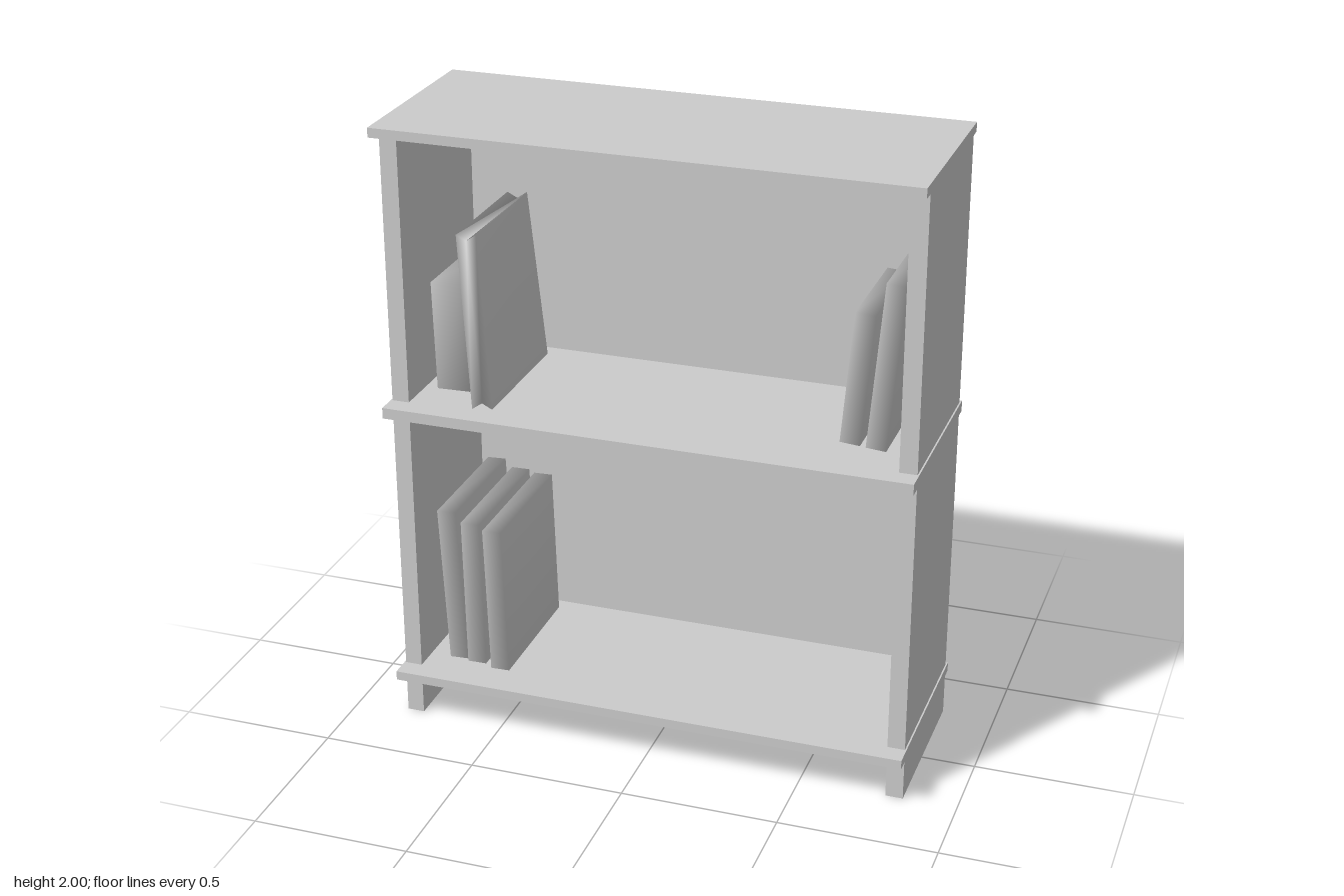
import * as THREE from 'three';
import { mergeVertices } from 'three/addons/utils/BufferGeometryUtils.js';

const material = new THREE.MeshStandardMaterial({ color: 0xcccccc });

// Box given by its lower and upper limits on each axis
function board(name, [x0, x1], [y0, y1], [z0, z1]) {
  const geometry = new THREE.BoxGeometry(x1 - x0, y1 - y0, z1 - z0);
  const mesh = new THREE.Mesh(geometry, material);
  mesh.position.set((x0 + x1) / 2, (y0 + y1) / 2, (z0 + z1) / 2);
  mesh.name = name;
  return mesh;
}

// Leaning, softly shaded book: xBottom and xTop are the centres of its ends,
// lean shifts the top back in z, notch sinks the pages between the covers
function book({ xBottom, xTop, y, z, width, lean = 0, notch = 0 }) {
  let geometry = new THREE.BoxGeometry(1, 1, 1, notch ? 2 : 1, 1, 1);
  const p = geometry.attributes.position;
  const tilt = (xBottom - xTop) / (y[1] - y[0]);
  for (let i = 0; i < p.count; i++) {
    const u = p.getX(i), v = p.getY(i) + 0.5, w = p.getZ(i) + 0.5;
    const inset = u === 0 ? notch : 0;
    const height = THREE.MathUtils.lerp(y[0] + inset, y[1] - inset, v);
    p.setXYZ(
      i,
      THREE.MathUtils.lerp(xBottom, xTop, v) + u * width,
      height + u * width * tilt,
      THREE.MathUtils.lerp(z[0], z[1] - lean * v, w)
    );
  }
  geometry.deleteAttribute('normal');
  geometry.deleteAttribute('uv');
  geometry = mergeVertices(geometry);
  geometry.computeVertexNormals();
  const mesh = new THREE.Mesh(geometry, material);
  mesh.name = 'book';
  return mesh;
}

export function createModel() {
  const group = new THREE.Group();
  group.name = 'bookcase';

  // Overhanging boards
  const shelves = { bottomShelf: [0.145, 0.175], middleShelf: [1.07, 1.105], topBoard: [1.97, 2] };
  for (const [name, y] of Object.entries(shelves)) {
    group.add(board(name, [-0.835, 0.835], y, [-0.31, 0.315]));
  }

  // Side panels running down into the legs
  for (const s of [-1, 1]) {
    const x = s < 0 ? [-0.83, -0.775] : [0.775, 0.83];
    const side = s < 0 ? 'right' : 'left';
    group.add(board(side + 'Leg', x, [0, 0.145], [-0.297, 0.25]));
    group.add(board(side + 'LowerPanel', x, [0.175, 1.07], [-0.297, 0.25]));
    group.add(board(side + 'UpperPanel', x, [1.105, 1.97], [-0.297, 0.25]));
  }

  // Thin back, stopping just short of the top board
  group.add(board('backPanel', [-0.828, 0.828], [0.16, 1.96], [-0.306, -0.297]));

  // Books
  const books = [
    { xBottom: -0.667, xTop: -0.693, y: [0.19, 0.713], z: [-0.23, 0.19], width: 0.062 },
    { xBottom: -0.601, xTop: -0.609, y: [0.19, 0.688], z: [-0.23, 0.2], width: 0.062 },
    { xBottom: -0.515, xTop: -0.53, y: [0.188, 0.68], z: [-0.23, 0.215], width: 0.062 },
    { xBottom: -0.658, xTop: -0.667, y: [1.13, 1.48], z: [-0.2, 0.17], width: 0.108 },
    { xBottom: -0.535, xTop: -0.592, y: [1.112, 1.652], z: [-0.225, 0.24], width: 0.066, lean: 0.055, notch: 0.02 },
    { xBottom: 0.606, xTop: 0.641, y: [1.138, 1.553], z: [-0.2, 0.175], width: 0.062 },
    { xBottom: 0.689, xTop: 0.733, y: [1.138, 1.658], z: [-0.22, 0.19], width: 0.062 },
  ];
  for (const options of books) group.add(book(options));

  return group;
}
